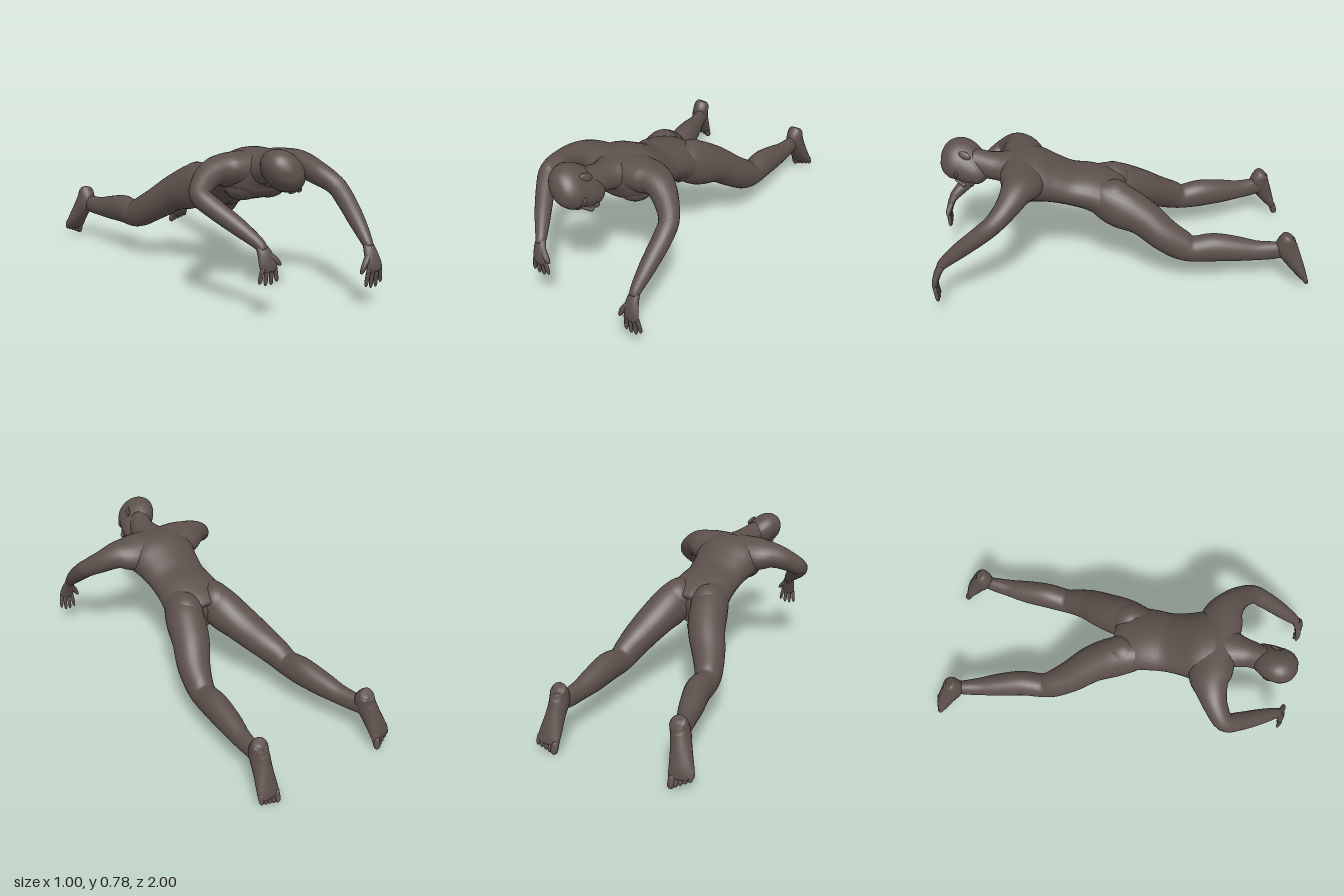
import * as THREE from 'three';

const skin = new THREE.MeshStandardMaterial({ color: 0x5c504b });
skin.name = 'dark skin';
const V = (x, y, z) => new THREE.Vector3(x, y, z);

// Smooth loft through stations [x, y, z, halfWidth, halfDepth]; width lies along "side"
function loft(name, stations, side = [1, 0, 0], segs = 20, sub = 4) {
  const path = new THREE.CatmullRomCurve3(stations.map(s => V(s[0], s[1], s[2])), false, 'catmullrom');
  const size = new THREE.CatmullRomCurve3(stations.map(s => V(s[3], s[4] ?? s[3], 0)), false, 'catmullrom');
  const rings = (stations.length - 1) * sub;
  const pos = [], index = [];
  for (let i = 0; i <= rings; i++) {
    const c = path.getPoint(i / rings), r = size.getPoint(i / rings), t = path.getTangent(i / rings);
    const s = V(...side).addScaledVector(t, -t.dot(V(...side))).normalize();
    const n = t.clone().cross(s);
    for (let j = 0; j < segs; j++) {
      const a = j / segs * Math.PI * 2;
      const p = c.clone().addScaledVector(s, r.x * Math.cos(a)).addScaledVector(n, r.y * Math.sin(a));
      pos.push(p.x, p.y, p.z);
    }
  }
  for (let i = 0; i < rings; i++) for (let j = 0; j < segs; j++) {
    const a = i * segs + j, b = i * segs + (j + 1) % segs;
    index.push(a, b, b + segs, a, b + segs, a + segs);
  }
  // end caps
  const first = stations[0], last = stations[stations.length - 1], k = pos.length / 3;
  pos.push(...first.slice(0, 3), ...last.slice(0, 3));
  for (let j = 0; j < segs; j++) {
    const j2 = (j + 1) % segs, e = rings * segs;
    index.push(k, j2, j, k + 1, e + j, e + j2);
  }
  const g = new THREE.BufferGeometry();
  g.setAttribute('position', new THREE.Float32BufferAttribute(pos, 3));
  g.setIndex(index);
  g.computeVertexNormals();
  const m = new THREE.Mesh(g, skin);
  m.name = name;
  return m;
}

function ellipsoid(name, p, r, rot = [0, 0, 0]) {
  const m = new THREE.Mesh(new THREE.SphereGeometry(1, 20, 14), skin);
  m.position.set(...p);
  m.scale.set(...r);
  m.rotation.set(...rot);
  m.name = name;
  return m;
}

// Tapered finger or toe with a rounded tip
function digit(name, a, b, r) {
  const at = t => a.map((v, i) => v + (b[i] - v) * t);
  return loft(name, [[...at(0), r], [...at(0.5), r], [...at(0.85), r * 0.85], [...at(1), r * 0.3]], [1, 0, 0.1], 8, 2);
}

function hand(name, palm, fingers, thumb) {
  const g = new THREE.Group();
  g.name = name;
  g.add(loft('palm', palm, [1, 0, 0.1], 16, 3));
  fingers.forEach(f => g.add(digit('finger', f[0], f[1], 0.0105)));
  g.add(loft('thumb', thumb, [0, 1, 0], 10, 3));
  return g;
}

// Foot hanging from the heel down to the toes; inner = direction towards the big toe
function foot(name, stations, side, inner) {
  const g = new THREE.Group();
  g.name = name;
  g.add(loft('sole and instep', stations, side, 20, 4));
  const end = stations[stations.length - 2], s = V(...side).normalize().multiplyScalar(inner);
  for (let i = 0; i < 5; i++) {
    const o = 0.044 - i * 0.0235, r = i ? 0.0135 : 0.019, len = 0.047 - i * 0.003;
    const a = [end[0] + s.x * o, end[1] + s.y * o, end[2] + s.z * o];
    g.add(digit('toe', [a[0], a[1] + 0.015, a[2] + 0.005], [a[0], a[1] - len, a[2] - 0.018], r));
  }
  return g;
}

function makeHead() {
  const g = new THREE.Group();
  g.name = 'head';
  // local axes: x = left ear, y = crown, z = face
  g.add(loft('skull and face', [
    [0, -0.136, 0.066, 0.012, 0.014], [0, -0.126, 0.06, 0.038, 0.042], [0, -0.095, 0.042, 0.06, 0.072],
    [0, -0.05, 0.02, 0.075, 0.096], [0, -0.01, 0.002, 0.082, 0.112], [0, 0.03, -0.008, 0.085, 0.115],
    [0, 0.07, -0.012, 0.078, 0.103], [0, 0.103, -0.014, 0.056, 0.073], [0, 0.12, -0.014, 0.024, 0.032],
    [0, 0.123, -0.014, 0.004, 0.005]], [1, 0, 0], 28, 4));
  g.add(loft('nose', [[0, 0.005, 0.108, 0.006], [0, -0.025, 0.117, 0.009], [0, -0.045, 0.124, 0.014, 0.011], [0, -0.056, 0.112, 0.008]], [1, 0, 0], 12, 3));
  g.add(ellipsoid('lips', [0, -0.082, 0.108], [0.024, 0.011, 0.01]));
  for (const s of [-1, 1]) {
    g.add(ellipsoid('brow', [s * 0.032, 0.006, 0.094], [0.028, 0.01, 0.012], [0, s * 0.4, 0]));
    g.add(ellipsoid('ear', [s * 0.086, -0.012, -0.008], [0.009, 0.034, 0.02], [-0.15, s * -0.5, 0]));
  }
  const F = V(0.71, -0.7, 0), Z = V(0, 0, 1);
  const crown = Z.clone().multiplyScalar(0.94).addScaledVector(F, -0.34).normalize();
  const face = F.clone().multiplyScalar(0.94).addScaledVector(Z, 0.34).normalize();
  g.quaternion.setFromRotationMatrix(new THREE.Matrix4().makeBasis(crown.clone().cross(face), crown, face));
  g.position.set(0.017, 0.674, 0.833);
  return g;
}

export function createModel() {
  const body = new THREE.Group();
  body.name = 'figure';

  // trunk and neck
  body.add(loft('torso', [
    [0.05, 0.44, 0.002, 0.05, 0.05], [0.05, 0.445, 0.022, 0.13, 0.095], [0.05, 0.473, 0.075, 0.178, 0.115],
    [0.05, 0.518, 0.17, 0.172, 0.11], [0.05, 0.545, 0.28, 0.164, 0.1], [0.05, 0.58, 0.38, 0.176, 0.112],
    [0.05, 0.607, 0.47, 0.196, 0.13], [0.05, 0.617, 0.55, 0.185, 0.12], [0.05, 0.633, 0.605, 0.14, 0.085],
    [0.05, 0.64, 0.645, 0.07, 0.05]], [1, 0, 0], 32, 4));
  body.add(loft('neck', [[0.05, 0.635, 0.46, 0.11, 0.07], [0.05, 0.645, 0.53, 0.125, 0.085], [0.048, 0.65, 0.6, 0.106, 0.08],
    [0.045, 0.655, 0.65, 0.083, 0.075], [0.04, 0.662, 0.71, 0.069, 0.073], [0.02, 0.68, 0.79, 0.062, 0.07]], [1, 0, 0], 24));
  body.add(makeHead());
  for (const s of [-1, 1]) {
    body.add(ellipsoid('chest muscle', [0.05 + s * 0.07, 0.56, 0.525], [0.1, 0.075, 0.085]));
    body.add(ellipsoid('buttock', [0.05 + s * 0.095, 0.488, 0.05], [0.096, 0.11, 0.11]));
  }
  body.add(ellipsoid('groin', [0.055, 0.348, 0.035], [0.02, 0.04, 0.033]));

  // both arms in one sweep across the shoulders, from right wrist to left wrist
  body.add(loft('armsAndShoulders', [
    [-0.138, 0.345, 0.94, 0.022], [-0.15, 0.375, 0.915, 0.029], [-0.21, 0.44, 0.83, 0.041], [-0.28, 0.51, 0.725, 0.048],
    [-0.316, 0.56, 0.65, 0.05], [-0.26, 0.613, 0.588, 0.06, 0.062], [-0.19, 0.642, 0.548, 0.07, 0.083],
    [-0.11, 0.643, 0.525, 0.084, 0.113], [0.05, 0.633, 0.52, 0.1, 0.118], [0.21, 0.643, 0.525, 0.084, 0.113],
    [0.29, 0.642, 0.548, 0.07, 0.083], [0.365, 0.6, 0.593, 0.06, 0.062], [0.428, 0.545, 0.66, 0.05], [0.44, 0.485, 0.735, 0.047],
    [0.438, 0.4, 0.84, 0.041], [0.435, 0.325, 0.925, 0.029], [0.437, 0.295, 0.95, 0.022]], [0, 1, -0.3], 24));
  body.add(hand('rightHand',
    [[-0.145, 0.37, 0.92, 0.024, 0.022], [-0.135, 0.335, 0.945, 0.035, 0.02], [-0.126, 0.29, 0.96, 0.043, 0.017],
      [-0.122, 0.262, 0.966, 0.039, 0.013], [-0.121, 0.252, 0.967, 0.03, 0.008]],
    [-0.155, -0.133, -0.11, -0.09].map((x, i) =>
      [[x, 0.27, 0.965], [-0.167 + i * 0.03, [0.197, 0.187, 0.187, 0.2][i], 0.96]]),
    [[-0.12, 0.335, 0.945, 0.015], [-0.09, 0.305, 0.96, 0.015], [-0.07, 0.285, 0.965, 0.011], [-0.06, 0.277, 0.965, 0.004]]));
  body.add(hand('leftHand',
    [[0.436, 0.315, 0.935, 0.024, 0.022], [0.437, 0.27, 0.962, 0.035, 0.02], [0.443, 0.22, 0.98, 0.043, 0.017],
      [0.446, 0.192, 0.984, 0.04, 0.013], [0.447, 0.182, 0.984, 0.03, 0.008]],
    [0.415, 0.437, 0.459, 0.479].map((x, i) =>
      [[x, 0.2, 0.984], [0.408 + i * 0.028, [0.107, 0.099, 0.102, 0.122][i], 0.973]]),
    [[0.425, 0.265, 0.965, 0.015], [0.396, 0.225, 0.978, 0.015], [0.38, 0.19, 0.98, 0.011], [0.372, 0.177, 0.98, 0.004]]));

  // legs: shared heights and thicknesses, own x positions
  const leg = [[0.52, 0.17, 0.06, 0.07], [0.495, 0.1, 0.088, 0.105], [0.455, 0.01, 0.104, 0.118],
    [0.405, -0.1, 0.1, 0.098], [0.33, -0.2, 0.088, 0.088],
    [0.272, -0.29, 0.073, 0.083], [0.243, -0.36, 0.066, 0.071], [0.25, -0.47, 0.067, 0.08],
    [0.236, -0.6, 0.061, 0.069], [0.224, -0.7, 0.048, 0.056], [0.222, -0.79, 0.038, 0.052], [0.225, -0.85, 0.03, 0.045]];
  const makeLeg = (name, xs) => loft(name, leg.map((s, i) => [xs[i], ...s]), [1, 0, 0], 28, 4);
  body.add(makeLeg('leftLeg', [0.13, 0.146, 0.167, 0.2, 0.245, 0.268, 0.275, 0.278, 0.279, 0.283, 0.285, 0.288]));
  body.add(makeLeg('rightLeg', [-0.03, -0.046, -0.067, -0.115, -0.182, -0.232, -0.252, -0.268, -0.305, -0.335, -0.362, -0.375]));

  // feet
  body.add(foot('leftFoot', [[0.288, 0.317, -0.876, 0.028, 0.022], [0.288, 0.3, -0.868, 0.042, 0.042],
    [0.288, 0.245, -0.866, 0.047, 0.06], [0.29, 0.18, -0.9, 0.049, 0.05], [0.293, 0.11, -0.94, 0.058, 0.035],
    [0.295, 0.06, -0.968, 0.061, 0.022], [0.295, 0.045, -0.976, 0.047, 0.012]], [1, 0.2, 0], -1));
  body.add(foot('rightFoot', [[-0.378, 0.315, -0.858, 0.03, 0.022], [-0.38, 0.298, -0.85, 0.044, 0.042],
    [-0.387, 0.245, -0.843, 0.049, 0.059], [-0.407, 0.18, -0.873, 0.052, 0.05], [-0.428, 0.11, -0.908, 0.061, 0.035],
    [-0.438, 0.07, -0.928, 0.064, 0.022], [-0.441, 0.055, -0.935, 0.049, 0.012]], [1, -0.35, -0.4], 1));

  // settle on the ground
  body.position.y -= new THREE.Box3().setFromObject(body, true).min.y;
  const model = new THREE.Group();
  model.name = 'prone figure';
  model.add(body);
  return model;
}
